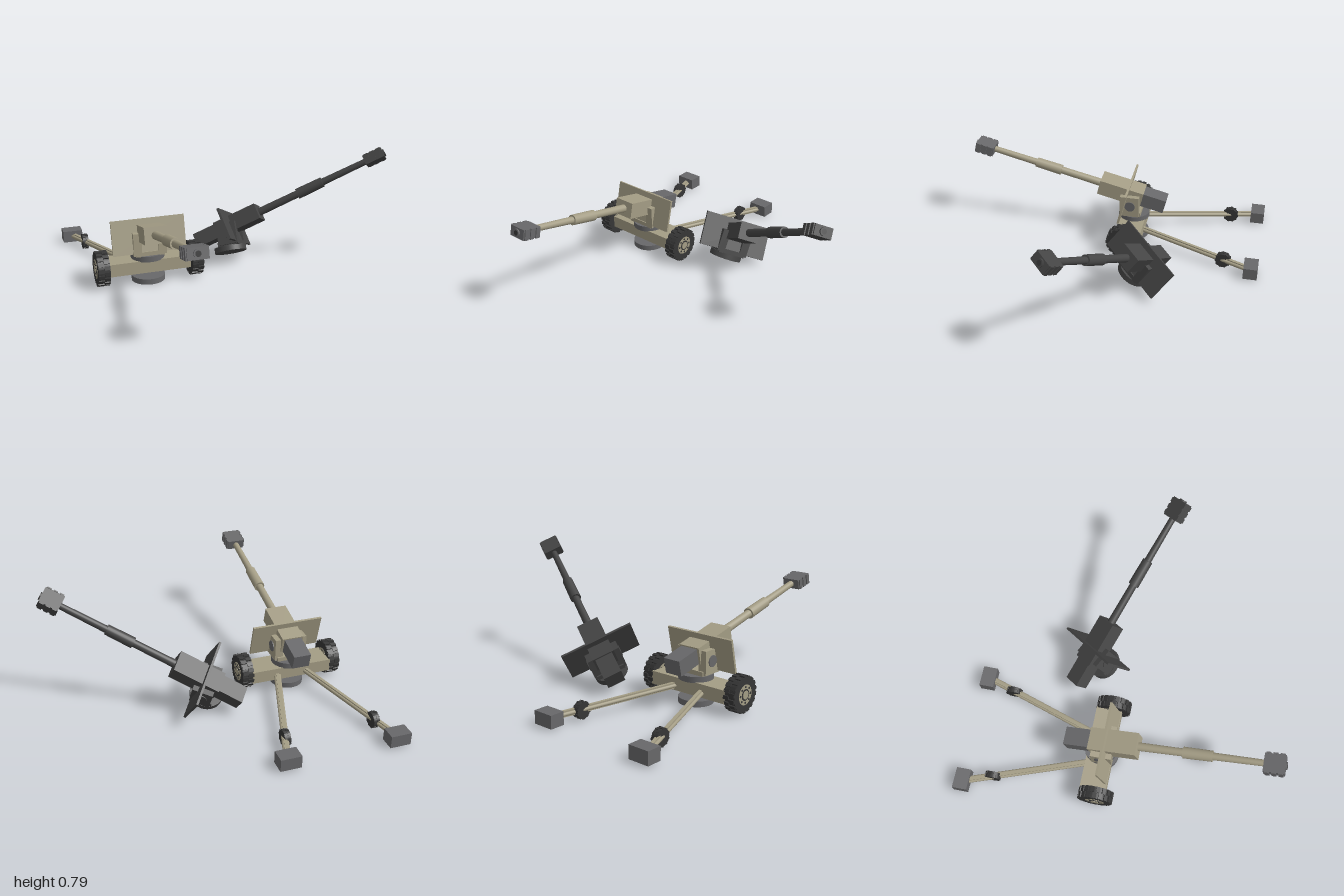
import * as THREE from 'three';

const mat = (name, color) => {
  const m = new THREE.MeshStandardMaterial({ color });
  m.name = name;
  return m;
};

export function createModel() {
  const tan = mat('tan paint', 0xa49d85);
  const steel = mat('grey steel', 0x68686a);
  const dark = mat('dark steel', 0x454545);
  const rubber = mat('black rubber', 0x363636);

  const add = (parent, name, geo, material, x = 0, y = 0, z = 0) => {
    const m = new THREE.Mesh(geo, material);
    m.name = name;
    m.position.set(x, y, z);
    parent.add(m);
    return m;
  };
  const group = (parent, name) => {
    const g = new THREE.Group();
    g.name = name;
    parent.add(g);
    return g;
  };
  const box = (w, h, d) => new THREE.BoxGeometry(w, h, d);
  // cylinder lying along z, from z0 to z1
  const rod = (r0, r1, z0, z1, n = 20) =>
    new THREE.CylinderGeometry(r1, r0, z1 - z0, n).rotateX(Math.PI / 2).translate(0, 0, (z0 + z1) / 2);
  // disc with its axis along x
  const disc = (r, w, n = 24) => new THREE.CylinderGeometry(r, r, w, n).rotateZ(Math.PI / 2);

  const root = new THREE.Group();
  root.name = 'fieldGuns';

  // Upper gun: origin at the middle of the turntable
  function makeGun(name, paint, metal) {
    const gun = group(root, name);
    add(gun, 'turntable', new THREE.CylinderGeometry(0.105, 0.105, 0.036, 32), metal);
    add(gun, 'mountBase', box(0.18, 0.03, 0.14), paint, 0, 0.03, 0.015);
    for (const s of [-1, 1]) {
      add(gun, 'mountCheek', box(0.052, 0.145, 0.13), paint, s * 0.079, 0.095, 0.02);
      add(gun, 'trunnionCap', disc(0.035, 0.008), metal, s * 0.106, 0.1, 0.015);
    }

    // Everything that follows the barrel's elevation
    const cradle = group(gun, 'elevatingGun');
    cradle.position.set(0, 0.18, 0.136);
    cradle.rotation.x = -0.23;
    add(cradle, 'cradle', box(0.14, 0.105, 0.305), paint, 0, 0, -0.0475);
    add(cradle, 'breech', box(0.112, 0.095, 0.175), metal, 0, -0.003, -0.2725);
    add(cradle, 'shield', box(0.463, 0.216, 0.014), paint, 0, -0.019, -0.094);
    add(cradle, 'barrelRear', rod(0.026, 0.024, 0.1, 0.4), paint);
    add(cradle, 'barrelSleeve', rod(0.035, 0.033, 0.385, 0.565), paint);
    add(cradle, 'barrelFront', rod(0.023, 0.02, 0.56, 0.87), paint);

    // Muzzle brake with side ribs and an open bore
    add(cradle, 'muzzleBrake', box(0.112, 0.064, 0.126), metal, 0, 0, 0.932);
    for (const s of [-1, 1]) {
      for (let i = 0; i < 3; i++) {
        add(cradle, 'muzzleRib', box(0.01, 0.066, 0.028), metal, s * 0.058, 0, 0.891 + i * 0.041);
      }
    }
    add(cradle, 'muzzleTip', rod(0.024, 0.024, 0.99, 1.004), metal);
    add(cradle, 'bore', new THREE.CircleGeometry(0.016, 20), rubber, 0, 0, 1.0055);
    return gun;
  }

  // Lugged tyre, axle along x
  function makeWheel(parent, name, r, w, lugs, x, y, z) {
    const wheel = group(parent, name);
    wheel.position.set(x, y, z);
    add(wheel, 'tyre', disc(r * 0.93, w, 32), rubber);
    for (let i = 0; i < lugs; i++) {
      for (const s of [-1, 1]) {
        const a = ((i + (s > 0 ? 0.5 : 0)) / lugs) * Math.PI * 2;
        const lug = add(wheel, 'treadLug', box(w * 0.48, r * 0.12, r * 0.2), rubber,
          s * w * 0.25, Math.cos(a) * r * 0.94, Math.sin(a) * r * 0.94);
        lug.rotation.x = a;
      }
    }
    return wheel;
  }

  // Wheeled carriage
  const CX = -0.56;
  const carriage = group(root, 'carriage');
  carriage.position.x = CX;
  add(carriage, 'axleBeam', box(0.53, 0.08, 0.165), tan, 0, 0.11, -0.122);
  add(carriage, 'groundPlatform', new THREE.CylinderGeometry(0.105, 0.105, 0.035, 32), steel, 0, 0.0175, -0.117);
  for (const s of [-1, 1]) {
    const wheel = makeWheel(carriage, 'roadWheel', 0.11, 0.074, 18, s * 0.296, 0.114, -0.098);
    add(wheel, 'wheelRim', disc(0.06, 0.077), tan);
    add(wheel, 'wheelRecess', disc(0.034, 0.08), rubber);
    add(wheel, 'wheelHub', disc(0.025, 0.084, 16), tan);
    for (let i = 0; i < 8; i++) {
      const a = (i / 8) * Math.PI * 2;
      add(wheel, 'wheelHole', disc(0.007, 0.08, 10), rubber, 0, Math.cos(a) * 0.047, Math.sin(a) * 0.047);
    }

    // Split trail made of a beam with a tube along each side
    const from = new THREE.Vector3(s * 0.085, 0.1, -0.16);
    const run = new THREE.Vector3(s * 0.345, 0.047, -0.94).sub(from);
    const len = run.length();
    const trail = group(carriage, 'trail');
    trail.position.copy(from);
    trail.rotation.order = 'YXZ';
    trail.rotation.set(-Math.asin(run.y / len), Math.atan2(run.x, run.z), 0);
    add(trail, 'trailBeam', box(0.02, 0.036, len), tan, 0, 0, len / 2);
    for (const t of [-1, 1]) {
      add(trail, 'trailTube', rod(0.011, 0.011, 0, len, 10), tan, t * 0.011, 0, 0);
    }
    add(carriage, 'trailFoot', box(0.13, 0.078, 0.092), steel, s * 0.345, 0.049, -0.954);
    makeWheel(carriage, 'trailWheel', 0.052, 0.038, 10, s * 0.286, 0.056, -0.768);
  }

  // Gun mounted on the carriage
  makeGun('mountedGun', tan, steel).position.set(CX, 0.165, -0.12);

  // Separate gun lying tilted on its turntable
  const loose = makeGun('looseGun', dark, dark);
  loose.position.set(0.026, 0.081, -0.225);
  loose.rotation.set(-0.518, 0.978, 0);
  return root;
}
